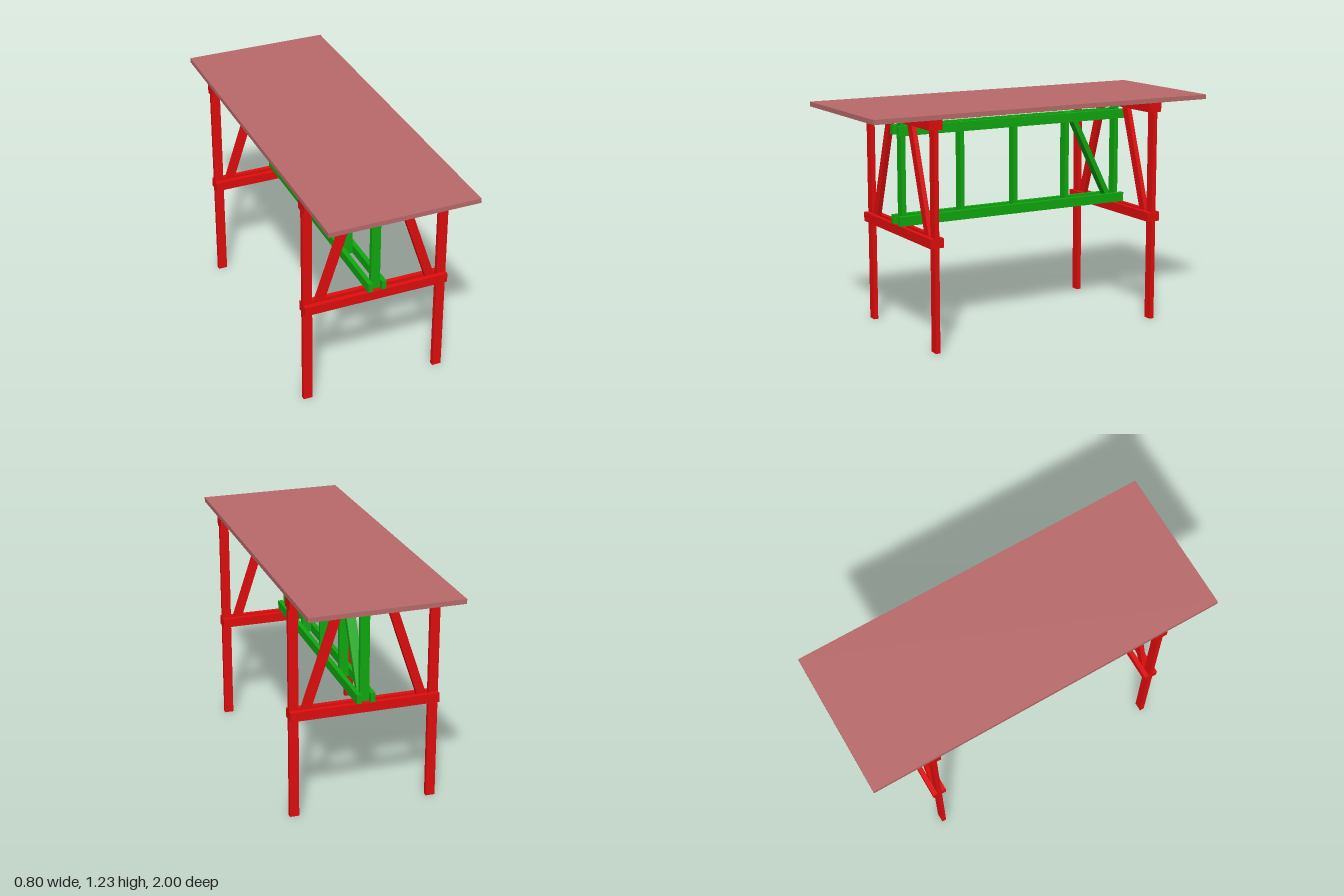
import * as THREE from 'three';

const T = 0.025; // board thickness
const W = 0.05; // board width
const END_Z = 0.6625; // centre plane of each end frame

const red = new THREE.MeshStandardMaterial({ color: 0xe00d0d });
const green = new THREE.MeshStandardMaterial({ color: 0x10a810 });
const rose = new THREE.MeshStandardMaterial({ color: 0xb96a6a });

// Box given by its min and max on each axis
function board(name, material, [x0, x1], [y0, y1], [z0, z1]) {
  const mesh = new THREE.Mesh(new THREE.BoxGeometry(x1 - x0, y1 - y0, z1 - z0), material);
  mesh.position.set((x0 + x1) / 2, (y0 + y1) / 2, (z0 + z1) / 2);
  mesh.name = name;
  return mesh;
}

// Slanted board with level-cut ends, drawn in x/y and centred on z = 0
function slantedBoard(name, material, bottom, top, y0, y1, depth) {
  const shape = new THREE.Shape([
    new THREE.Vector2(bottom[0], y0),
    new THREE.Vector2(bottom[1], y0),
    new THREE.Vector2(top[1], y1),
    new THREE.Vector2(top[0], y1),
  ]);
  const geometry = new THREE.ExtrudeGeometry(shape, { depth, bevelEnabled: false });
  geometry.translate(0, 0, -depth / 2);
  const mesh = new THREE.Mesh(geometry, material);
  mesh.name = name;
  return mesh;
}

// Legs and braces clamped between paired cross rails
function endFrame(name, z) {
  const frame = new THREE.Group();
  frame.name = name;
  const core = [-T / 2, T / 2];

  for (const [label, y] of [['lowerCrossRail', 0.55], ['upperCrossRail', 1.15]]) {
    for (const s of [-1, 1]) {
      frame.add(board(label, red, [-0.4, 0.4], [y, y + W], [s * T - T / 2, s * T + T / 2]));
    }
  }
  for (const s of [-1, 1]) {
    const cx = s * 0.375;
    frame.add(board('leg', red, [cx - W / 2, cx + W / 2], [0, 1.2], core));
    frame.add(slantedBoard('frameBrace', red, [s * 0.35, s * 0.3], [s * 0.133, s * 0.083], 0.55, 1.2, T));
  }
  frame.position.z = z;
  return frame;
}

// Long truss tying the two end frames together
function truss() {
  const group = new THREE.Group();
  group.name = 'truss';
  const core = [-W / 2, W / 2];

  for (const [label, y] of [['lowerLongRail', 0.6], ['upperLongRail', 1.075]]) {
    for (const s of [-1, 1]) {
      const cx = s * (W + T) / 2;
      group.add(board(label, green, [cx - T / 2, cx + T / 2], [y, y + W], [-0.7, 0.7]));
    }
  }
  for (const z of [0.317, -0.01, -0.337]) {
    group.add(board('trussPost', green, core, [0.6, 1.125], [z - T / 2, z + T / 2]));
  }
  // End posts reach into the slots between the cross rails
  for (const z of [END_Z, -END_Z]) {
    group.add(board('endPost', green, core, [0.55, 1.2], [z - T / 2, z + T / 2]));
  }
  // Diagonal in the rear bay
  const diagonal = slantedBoard('trussDiagonal', green, [-0.649, -0.617], [-0.382, -0.35], 0.6, 1.125, W);
  diagonal.rotation.y = -Math.PI / 2;
  group.add(diagonal);
  return group;
}

export function createModel() {
  const table = new THREE.Group();
  table.name = 'trestleTable';
  table.add(board('tableTop', rose, [-0.4, 0.4], [1.2, 1.225], [-1, 1]));
  table.add(endFrame('frontFrame', END_Z), endFrame('backFrame', -END_Z), truss());
  return table;
}
